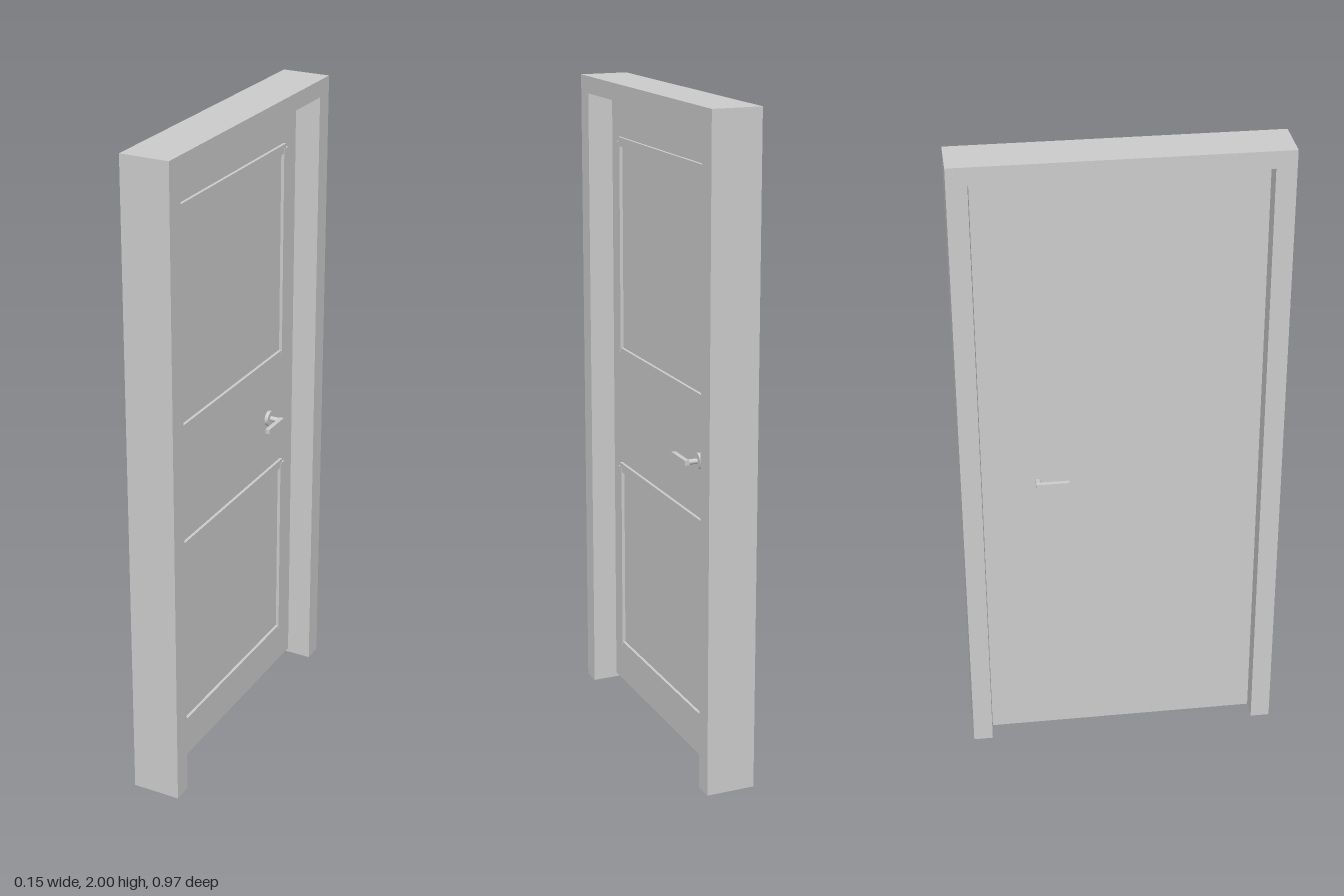
import * as THREE from 'three';

export function createModel() {
  const group = new THREE.Group();
  group.name = 'door';
  const grey = new THREE.MeshStandardMaterial({ color: 0xcccccc });
  grey.name = 'plainGrey';

  const add = (name, geometry, x, y, z, parent = group) => {
    const mesh = new THREE.Mesh(geometry, grey);
    mesh.name = name;
    mesh.position.set(x, y, z);
    parent.add(mesh);
    return mesh;
  };

  // Frame: an upside-down U, drawn across z and extruded through x
  const outline = [
    [-0.485, 0], [-0.425, 0], [-0.425, 1.948], [0.425, 1.948],
    [0.425, 0], [0.485, 0], [0.485, 2], [-0.485, 2],
  ].map(([z, y]) => new THREE.Vector2(z, y));
  const frame = new THREE.ExtrudeGeometry(new THREE.Shape(outline), { depth: 0.15, bevelEnabled: false });
  frame.translate(0, 0, -0.075).rotateY(-Math.PI / 2);
  add('frame', frame, 0, 0, 0);

  // Leaf, set back further on the panelled side
  const face = -0.002, back = -0.032;
  add('leaf', new THREE.BoxGeometry(face - back, 1.924, 0.842), (face + back) / 2, 0.978, 0);

  // Raised mouldings: four bars meeting at their centre lines, so the corners are notched
  const bar = 0.028, raise = 0.01;
  const moulding = (name, y0, y1) => {
    const part = new THREE.Group();
    part.name = name;
    group.add(part);
    const z0 = -0.339, z1 = 0.353, x = face + raise / 2 - 0.001;
    for (const z of [z0, z1])
      add('uprightBar', new THREE.BoxGeometry(raise + 0.002, y1 - y0, bar), x, (y0 + y1) / 2, z, part);
    for (const y of [y0, y1])
      add('crossBar', new THREE.BoxGeometry(raise, bar, z1 - z0), x, y, (z0 + z1) / 2, part);
  };
  moulding('upperMoulding', 1.143, 1.806);
  moulding('lowerMoulding', 0.145, 0.761);

  // Handle: rosette on the panelled side, spindle through the leaf, a lever on each side
  const handle = new THREE.Group();
  handle.name = 'handle';
  handle.position.set(0, 0.952, -0.252);
  group.add(handle);
  const disc = (r, length) => new THREE.CylinderGeometry(r, r, length, 24).rotateZ(Math.PI / 2);
  add('rosette', disc(0.024, 0.012), face + 0.005, 0, 0, handle);
  const leverFront = face + 0.045, leverBack = back - 0.028;
  add('spindle', disc(0.008, leverFront - leverBack), (leverFront + leverBack) / 2, 0, 0, handle);
  for (const x of [leverFront, leverBack])
    add('lever', new THREE.BoxGeometry(0.014, 0.015, 0.1), x, 0, 0.042, handle);

  return group;
}
